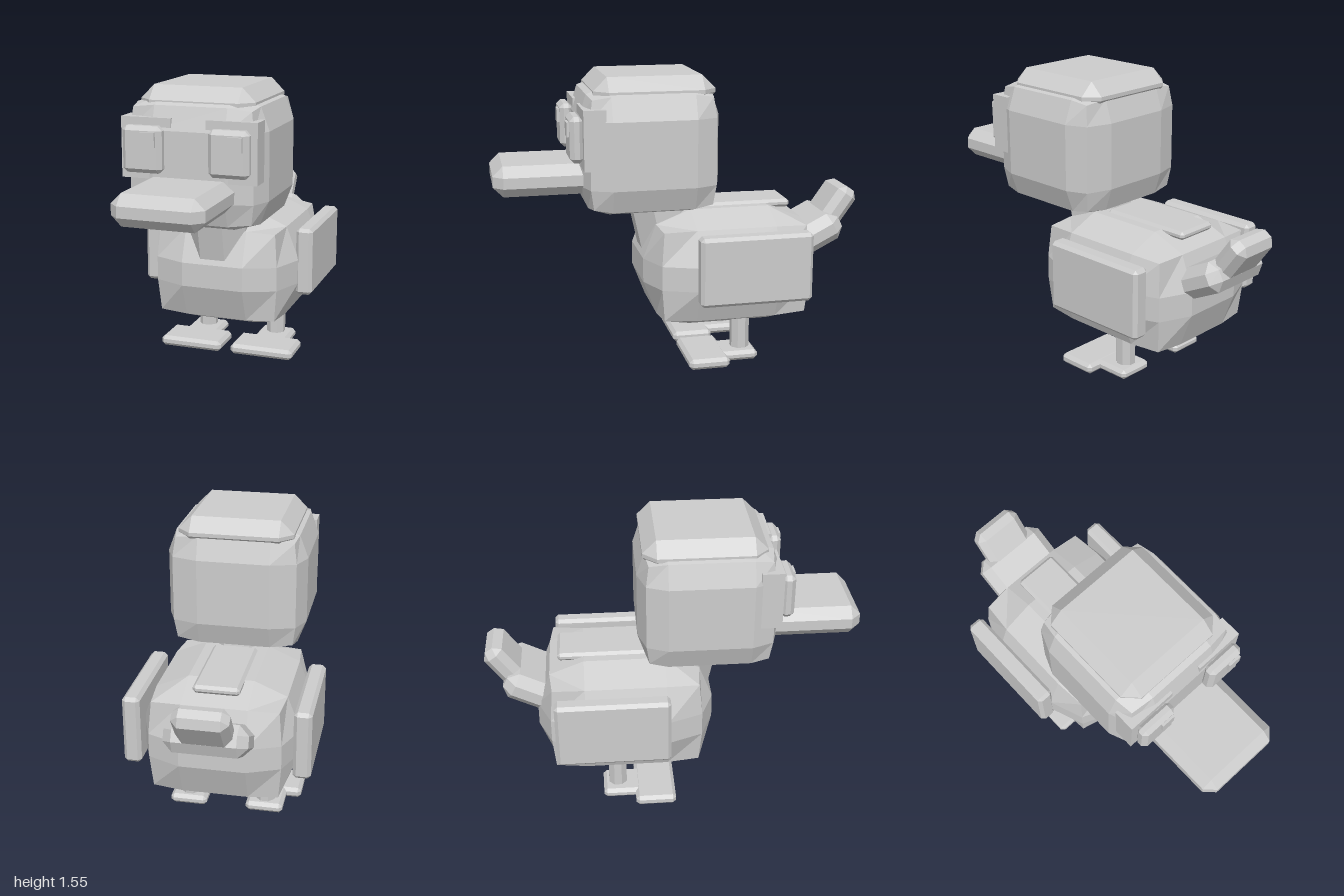
import * as THREE from 'three';
import { ConvexGeometry } from 'three/addons/geometries/ConvexGeometry.js';

const grey = new THREE.MeshStandardMaterial({ color: 0xcccccc });
grey.name = 'plainGrey';

function add(parent, name, geometry, x = 0, y = 0, z = 0, tilt = 0) {
  const mesh = new THREE.Mesh(geometry, grey);
  mesh.name = name;
  mesh.position.set(x, y, z);
  mesh.rotation.x = tilt;
  parent.add(mesh);
  return mesh;
}

// Box with one flat chamfer along every edge, from half sizes
function chamferBox(hx, hy, hz, b) {
  const points = [];
  for (const x of [-1, 1]) for (const y of [-1, 1]) for (const z of [-1, 1]) {
    points.push(
      new THREE.Vector3(x * hx, y * (hy - b), z * (hz - b)),
      new THREE.Vector3(x * (hx - b), y * hy, z * (hz - b)),
      new THREE.Vector3(x * (hx - b), y * (hy - b), z * hz));
  }
  return new ConvexGeometry(points);
}

// Rounded low-poly block, 3 x 3 faces a side.
// Each axis: [inner ring, corner, edge, face] distance from the centre
function puffyBlock(axes) {
  const g = new THREE.BoxGeometry(2, 2, 2, 3, 3, 3);
  const p = g.attributes.position;
  for (let i = 0; i < p.count; i++) {
    const v = [p.getX(i), p.getY(i), p.getZ(i)];
    const outer = v.filter((c) => Math.abs(c) > 0.9).length;
    const w = v.map((c, a) => {
      const [inner, corner, edge, face] = axes[a];
      return Math.sign(c) * (Math.abs(c) < 0.9 ? inner : [0, face, edge, corner][outer]);
    });
    p.setXYZ(i, ...w);
  }
  const flat = g.toNonIndexed();
  flat.computeVertexNormals();
  return flat;
}

// Eight-sided post with flat faces
function post(radius, height) {
  const g = new THREE.CylinderGeometry(radius, radius, height, 8).rotateY(Math.PI / 8).toNonIndexed();
  g.computeVertexNormals();
  return g;
}

export function createModel() {
  const bird = new THREE.Group();
  bird.name = 'blockyBird';

  // Body, neck and back plate
  add(bird, 'body', puffyBlock([
    [0.17, 0.325, 0.34, 0.41], [0.065, 0.24, 0.247, 0.32], [0.215, 0.385, 0.4, 0.47],
  ]), 0, 0.51, -0.24);
  add(bird, 'neck', post(0.178, 0.5), 0, 0.72, 0.076, 0.21);
  add(bird, 'backPlate', chamferBox(0.12, 0.022, 0.26, 0.015), 0, 0.823, -0.335);

  // Head with cap and bill
  const head = new THREE.Group();
  head.name = 'head';
  bird.add(head);
  add(head, 'skull', puffyBlock([
    [0.19, 0.31, 0.325, 0.37], [0.175, 0.28, 0.295, 0.335], [0.215, 0.31, 0.325, 0.365],
  ]), 0, 1.168, 0.195);
  add(head, 'cap', chamferBox(0.302, 0.08, 0.315, 0.07), 0, 1.472, 0.173);
  add(head, 'bill', chamferBox(0.235, 0.08, 0.27, 0.052), 0, 1.03, 0.73);

  // Eyes: both pupils look towards +x
  for (const s of [1, -1]) {
    const side = s > 0 ? 'left' : 'right';
    add(head, side + 'EyePlate', new THREE.BoxGeometry(0.265, 0.307, 0.115), s * 0.2225, 1.2515, 0.4975);
    add(head, side + 'Eye', chamferBox(0.104, 0.117, 0.035, 0.022), s * 0.224, 1.252, 0.585);
    add(head, side + 'Pupil', new THREE.BoxGeometry(0.075, 0.073, 0.06), s * 0.224 + 0.039, 1.305, 0.603);
  }

  // Wings, legs and feet
  for (const s of [1, -1]) {
    const side = s > 0 ? 'left' : 'right';
    add(bird, side + 'Wing', chamferBox(0.046, 0.185, 0.3, 0.018), s * 0.438, 0.565, -0.315);
    add(bird, side + 'Leg', post(0.053, 0.28), s * 0.208, 0.17, -0.295);
    add(bird, side + 'Foot', chamferBox(0.179, 0.029, 0.11, 0.018), s * 0.208, 0.029, -0.09);
    add(bird, side + 'Heel', chamferBox(0.1, 0.027, 0.12, 0.018), s * 0.208, 0.029, -0.255);
  }

  // Two-part tail turned upwards
  add(bird, 'tailBase', chamferBox(0.21, 0.08, 0.165, 0.05), 0, 0.637, -0.729, 0.47);
  add(bird, 'tailTip', chamferBox(0.14, 0.061, 0.165, 0.037), 0, 0.746, -0.858, 0.955);

  return bird;
}
